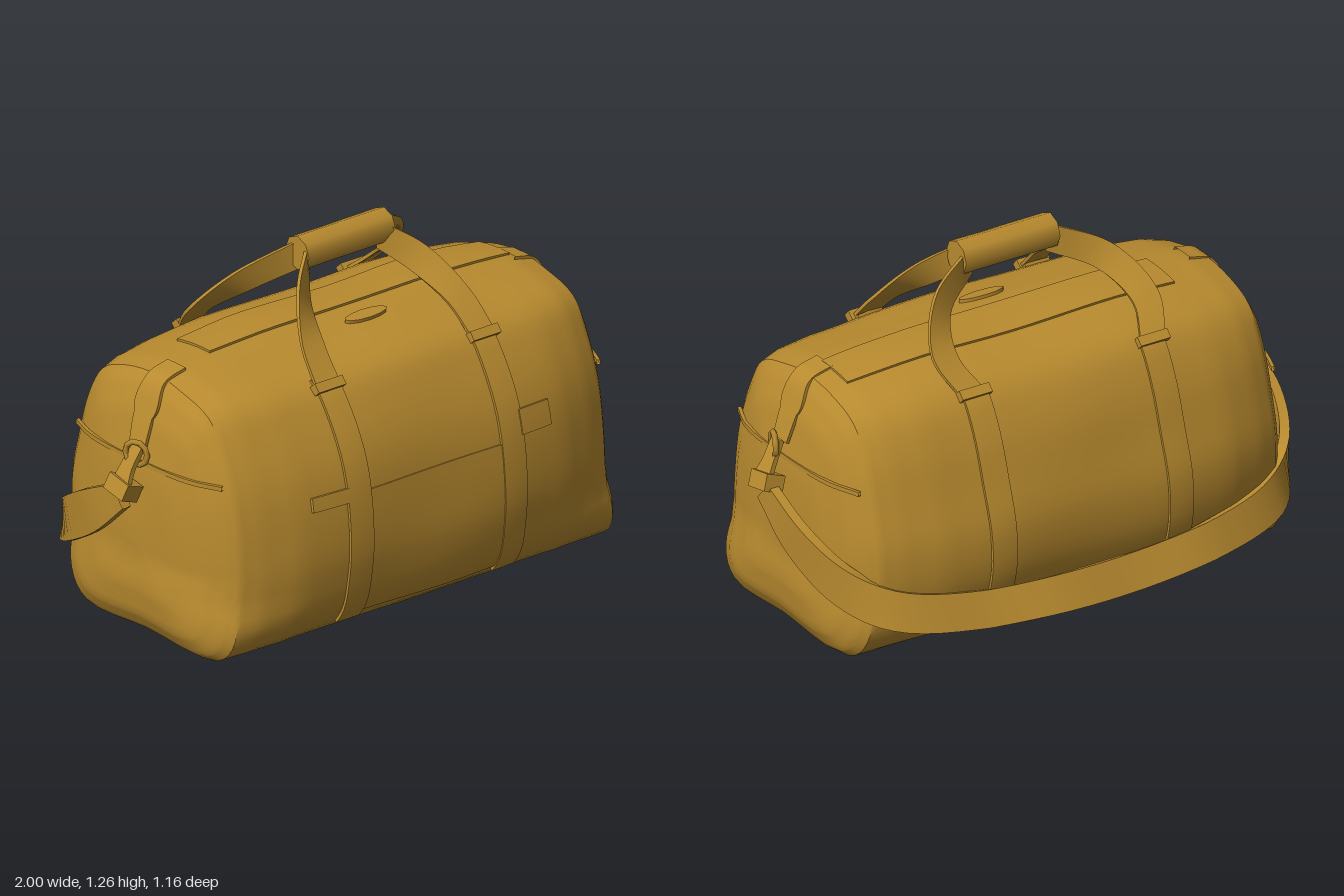
import * as THREE from 'three';
import { toCreasedNormals } from 'three/addons/utils/BufferGeometryUtils.js';

const V = (x, y, z) => new THREE.Vector3(x, y, z);
const canvas = new THREE.MeshStandardMaterial({ color: 0xb98b2f, side: THREE.DoubleSide });
canvas.name = 'ochre canvas';

// Bag cross-section as [z, y], from bottom front over the top to the back
const profile = [[0.42, 0.008], [0.525, 0.1], [0.562, 0.25], [0.563, 0.4], [0.527, 0.62], [0.45, 0.785],
  [0.37, 0.885], [0.2, 0.937], [0.05, 0.963], [-0.15, 0.943], [-0.295, 0.885], [-0.38, 0.76],
  [-0.44, 0.59], [-0.485, 0.42], [-0.475, 0.24], [-0.4, 0.09], [-0.27, 0.004], [0.08, 0.006]];
const section = new THREE.CatmullRomCurve3(profile.map(([z, y]) => V(0, y, z)), true);

// Half-length stations: x, depth scale, upper height scale, lower height scale
const stations = [[0, 1, 1, 1], [0.35, 1, 1, 1], [0.6, 0.965, 0.985, 1], [0.75, 0.9, 0.97, 1],
  [0.84, 0.84, 0.94, 1], [0.872, 0.78, 0.87, 0.95], [0.915, 0.66, 0.73, 0.8],
  [0.955, 0.42, 0.45, 0.5], [0.975, 0, 0, 0]];
const END = 0.975, MID = 0.38;

// Point on the bag at length x and profile position i, lifted by off
function surface(x, i, off = 0) {
  const a = Math.min(Math.abs(x), END);
  let k = 0;
  while (k < stations.length - 2 && a > stations[k + 1][0]) k++;
  const A = stations[k], B = stations[k + 1];
  const f = (a - A[0]) / (B[0] - A[0]);
  const [sz, st, sb] = [1, 2, 3].map(n => A[n] + (B[n] - A[n]) * f);
  const t = (((i / profile.length) % 1) + 1) % 1;
  const p = section.getPoint(t), d = section.getTangent(t);
  const lift = off + 0.005 * Math.sin(8 * x + 1) * Math.sin(t * 22) * (i < 16 ? 1 : 0);
  const dy = p.y - d.z * lift - MID;
  const y = Math.max(0, MID + dy * (dy > 0 ? st : sb));
  // bottom corners stay square while the ends are pinched in above them
  const corner = 0.15 * Math.max(0, 1 - y / 0.22) * Math.min(1, a / 0.84) ** 4;
  const z = 0.04 + (p.z - 0.04 + d.y * lift) * (sz + corner);
  return V(x * (1 - 0.07 * a * a * Math.min(1, y / 0.3)), y, z);
}

// Grid of points [row][column] to a geometry
function gridGeometry(rows, crease = 0.6) {
  const n = rows[0].length, index = [];
  for (let i = 0; i < rows.length - 1; i++) for (let j = 0; j < n - 1; j++) {
    const a = i * n + j, b = a + n;
    index.push(a, b, b + 1, a, b + 1, a + 1);
  }
  const g = new THREE.BufferGeometry().setFromPoints(rows.flat());
  g.setIndex(index);
  return toCreasedNormals(g, crease);
}

// Fabric plate lying on the bag, with its border tucked into the surface
function patch(x0, x1, i0, i1, off, nx = 6, ni = 16) {
  const rows = [];
  const step = (q, n) => THREE.MathUtils.clamp((q - 1) / (n - 2), 0, 1);
  for (let a = 0; a <= nx; a++) {
    const row = [];
    for (let b = 0; b <= ni; b++) {
      const edge = a === 0 || a === nx || b === 0 || b === ni;
      row.push(surface(x0 + (x1 - x0) * step(a, nx), i0 + (i1 - i0) * step(b, ni), edge ? -0.004 : off));
    }
    rows.push(row);
  }
  return gridGeometry(rows);
}

// Webbing through centre points, each with a half-width vector
function ribbon(centres, halves, thick = 0.012, n = 24) {
  const mid = new THREE.CatmullRomCurve3(centres.map(p => V(...p)));
  const half = new THREE.CatmullRomCurve3(halves.map(p => V(...p)));
  const rows = [];
  for (let k = 0; k <= n; k++) {
    const c = mid.getPoint(k / n), w = half.getPoint(k / n);
    const o = mid.getTangent(k / n).cross(w).normalize().multiplyScalar(thick / 2);
    const ring = [[1, 1], [-1, 1], [-1, -1], [1, -1], [1, 1]];
    rows.push(ring.map(([u, v]) => c.clone().addScaledVector(w, u).addScaledVector(o, v)));
  }
  return gridGeometry(rows);
}

export function createModel() {
  const bag = new THREE.Group();
  bag.name = 'duffelBag';
  const add = (name, geometry, pos = [0, 0, 0], rot = [0, 0, 0]) => {
    const m = new THREE.Mesh(geometry, canvas);
    m.name = name;
    m.position.set(...pos);
    m.rotation.set(...rot);
    bag.add(m);
  };

  // Main body lofted from end to end
  const xs = [];
  for (let k = 0; k < stations.length - 1; k++)
    for (let q = 0; q < 4; q++) xs.push(stations[k][0] + (stations[k + 1][0] - stations[k][0]) * q / 4);
  xs.push(END);
  const all = [...xs.slice(1).reverse().map(x => -x), ...xs];
  add('body', gridGeometry(all.map(x =>
    Array.from({ length: 73 }, (_, j) => surface(x, j * profile.length / 72)))));

  // Front pocket, zip flap, zip pull and the tabs beside the webbing
  add('frontPocket', patch(-0.29, 0.3, 0.8, 3.6, 0.006, 14));
  add('zipFlap', patch(-0.6, 0.76, 7.9, 8.8, 0.008, 20, 6));
  add('zipPull', new THREE.CylinderGeometry(0.09, 0.09, 0.012, 12).scale(1, 1, 0.3), [0.02, 0.955, 0.16], [0.15, 0, 0]);
  add('rightCompressionTab', patch(-0.54, -0.38, 3.5, 3.72, 0.012, 5, 4));
  add('leftCompressionTab', patch(0.38, 0.52, 3.65, 4.05, 0.014, 5, 4));

  for (const s of [-1, 1]) {
    const side = s > 0 ? 'left' : 'right';
    // Webbing sewn to the front and back
    add(side + 'FrontWebbing', patch(s * 0.34 - 0.05, s * 0.34 + 0.05, 0.6, 6.1, 0.01, 4, 26));
    add(side + 'BackWebbing', patch(s * 0.36 - 0.05, s * 0.36 + 0.05, 10, 14.2, 0.01, 4, 24));

    // Carry handle straps, turning on edge into the grip
    add(side + 'FrontHandleStrap', ribbon(
      [[s * 0.34, 0.86, 0.405], [s * 0.32, 0.98, 0.29], [s * 0.25, 1.1, 0.16], [s * 0.15, 1.185, 0.06]],
      [[s * 0.05, 0, 0], [s * 0.048, 0.01, 0], [s * 0.03, 0.04, 0.005], [0, 0.052, 0]]));
    add(side + 'BackHandleStrap', ribbon(
      [[s * 0.36, 0.87, -0.315], [s * 0.405, 0.98, -0.2], [s * 0.33, 1.1, -0.07], [s * 0.15, 1.185, 0.025]],
      [[s * 0.05, 0, 0], [s * 0.05, 0.01, 0], [s * 0.03, 0.04, 0], [0, 0.052, 0]]));

    // Loops joining handles to the webbing
    add(side + 'FrontLoop', new THREE.BoxGeometry(0.12, 0.035, 0.035), [s * 0.34, 0.875, 0.395], [-0.7, 0, 0]);
    add(side + 'BackLoop', new THREE.BoxGeometry(0.12, 0.035, 0.035), [s * 0.36, 0.88, -0.31], [0.8, 0, 0]);

    // End tab hanging from the top to the shoulder strap clip
    add(side + 'EndTab', ribbon(
      [[s * 0.72, 0.945, 0.055], [s * 0.81, 0.915, 0.055], [s * 0.863, 0.8, 0.055], [s * 0.895, 0.7, 0.06]],
      [[0, 0, 0.047], [0, 0, 0.047], [0, 0, 0.047], [0, 0, 0.04]]));
    add(side + 'EndRing', new THREE.TorusGeometry(0.042, 0.011, 5, 10), [s * 0.915, 0.68, 0.075], [0, Math.PI / 2 - s * 0.4, 0]);
    add(side + 'ClipStrap', ribbon(
      [[s * 0.9, 0.7, 0.07], [s * 0.94, 0.63, 0.06], [s * 0.975, 0.56, 0.06]],
      [[0, 0, 0.025], [0, 0, 0.03], [0, 0, 0.045]], 0.018, 8));
    add(side + 'Clip', new THREE.BoxGeometry(0.075, 0.06, 0.1), [s * 0.955, 0.56, 0.055], [0.2, 0, s * 0.35]);

    // Seam band across the end panel
    add(side + 'EndSeam', ribbon(
      [[s * 0.825, 0.64, 0.42], [s * 0.872, 0.64, 0.3], [s * 0.89, 0.64, 0.05], [s * 0.877, 0.64, -0.2], [s * 0.835, 0.64, -0.33]],
      Array(5).fill([0, 0.008, 0])));
  }

  // Padded grip around both handles
  add('grip', new THREE.CylinderGeometry(0.062, 0.062, 0.38, 8), [0.01, 1.198, 0.04], [0, 0, Math.PI / 2]);

  // Thick shoulder strap slumped round the back, its top edge leaning on the bag
  const half = [[0.96, 0.53, 0.05], [0.95, 0.41, -0.13], [0.89, 0.3, -0.31], [0.765, 0.225, -0.435], [0.45, 0.175, -0.515]];
  const wide = [[0, 0.035, -0.03], [0, 0.06, -0.045], [-0.01, 0.07, -0.02], [-0.015, 0.065, 0.015], [0, 0.06, 0.025]];
  const flip = list => [...list].reverse().map(([x, y, z]) => [-x, y, z]);
  add('shoulderStrap', ribbon(
    [...half, [0, 0.16, -0.54], ...flip(half)],
    [...wide, [0, 0.06, 0.025], ...flip(wide)], 0.035, 60));

  return bag;
}
